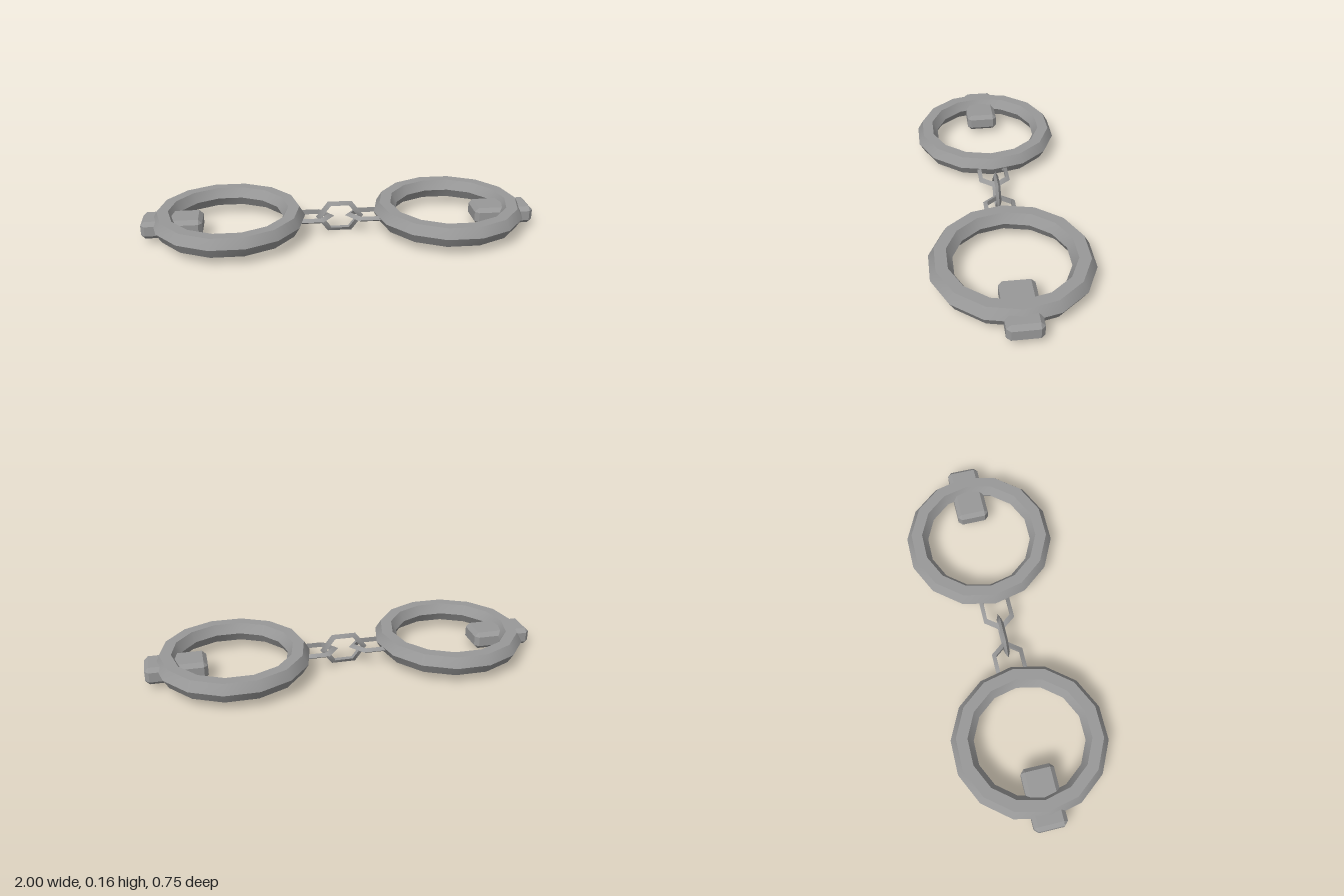
import * as THREE from 'three';
import { toCreasedNormals } from 'three/addons/utils/BufferGeometryUtils.js';
import { ConvexGeometry } from 'three/addons/geometries/ConvexGeometry.js';

const steel = new THREE.MeshStandardMaterial({ color: 0x999999 });
steel.name = 'steel';

function part(name, geometry, x, y) {
  const mesh = new THREE.Mesh(geometry, steel);
  mesh.name = name;
  mesh.position.set(x, y, 0);
  return mesh;
}

// Box with every edge and corner chamfered by b
function chamferedBox(w, h, d, b) {
  const points = [];
  for (const sx of [-1, 1]) for (const sy of [-1, 1]) for (const sz of [-1, 1]) {
    for (let axis = 0; axis < 3; axis++) {
      const inset = [b, b, b];
      inset[axis] = 0;
      points.push(new THREE.Vector3(
        sx * (w / 2 - inset[0]), sy * (h / 2 - inset[1]), sz * (d / 2 - inset[2])));
    }
  }
  return new ConvexGeometry(points);
}

export function createModel() {
  const group = new THREE.Group();
  group.name = 'handcuffs';

  // Fourteen-sided cuff with a hexagonal section
  const cuff = toCreasedNormals(
    new THREE.TorusGeometry(0.3305, 0.0565, 6, 14).rotateX(-Math.PI / 2), 0.6);
  // Six-sided chain link with a triangular section, stretched along the chain
  const link = toCreasedNormals(
    new THREE.TorusGeometry(0.0775, 0.0152, 3, 6).scale(1.325, 1, 1), 0.6);
  const lock = chamferedBox(0.304, 0.09, 0.166, 0.02);

  for (const [side, s] of [['left', 1], ['right', -1]]) {
    const ring = part(side + 'Cuff', cuff, 0.565 * s, 0.094);
    if (s < 0) ring.rotation.y = Math.PI;
    group.add(ring);
    group.add(part(side + 'Lock', lock, 0.848 * s, 0.072));

    const sideLink = part(side + 'Link', link, 0.15 * s, 0.082);
    sideLink.rotation.x = -Math.PI / 2;
    group.add(sideLink);
  }

  // Upright link joining the two flat ones
  group.add(part('middleLink', link, 0, 0.0803));
  return group;
}
